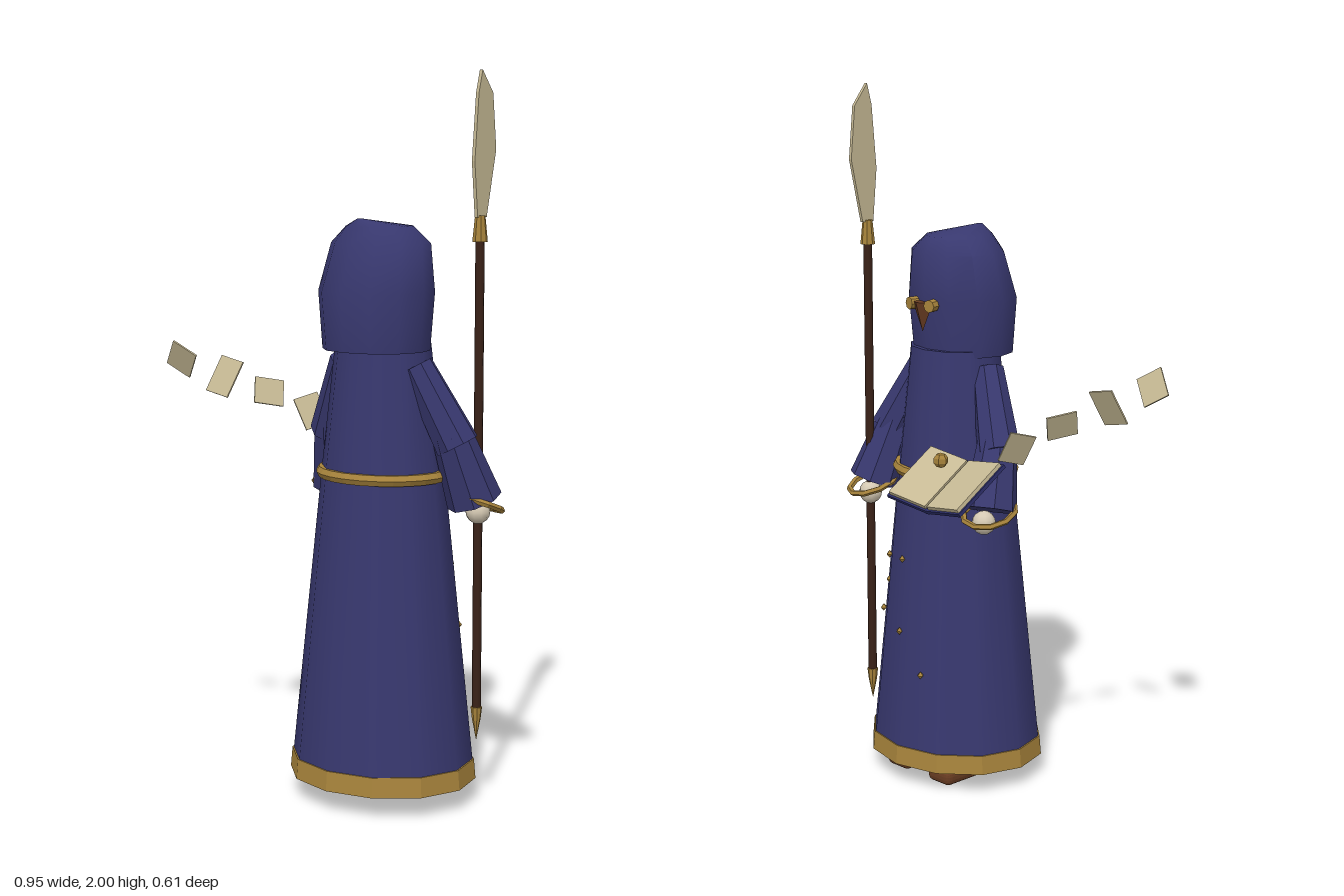
import * as THREE from 'three';
import { toCreasedNormals } from 'three/addons/utils/BufferGeometryUtils.js';
import { RoundedBoxGeometry } from 'three/addons/geometries/RoundedBoxGeometry.js';

const V = (x, y, z) => new THREE.Vector3(x, y, z);
const CX = 0.148, CZ = 0.06, SQUASH = 0.88;

export function createModel() {
  const root = new THREE.Group();
  root.name = 'hoodedFigure';
  const mat = (name, color, extra = {}) => Object.assign(new THREE.MeshStandardMaterial({ color, ...extra }), { name });
  const navy = mat('navyCloth', 0x38386f);
  const navyFlat = mat('navySleeve', 0x38386f, { flatShading: true });
  const gold = mat('gold', 0xa8843c, { flatShading: true });
  const cream = mat('paper', 0xc6b994, { flatShading: true });
  const wood = mat('darkWood', 0x3a2218);
  const brown = mat('brownLeather', 0x683c22, { flatShading: true });
  const skin = mat('paleHand', 0xd6cab4);
  const cover = mat('bookCover', 0x2c2e68);

  const add = (name, geo, material, pos = V(0, 0, 0), parent = root) => {
    const m = new THREE.Mesh(geo, material);
    m.name = name;
    m.position.copy(pos);
    parent.add(m);
    return m;
  };

  // Tapered tube running from point a to point b
  const limb = (name, a, b, ra, rb, sides, material, parent = root) => {
    const d = b.clone().sub(a);
    const m = add(name, new THREE.CylinderGeometry(rb, ra, d.length(), sides), material,
      a.clone().add(b).multiplyScalar(0.5), parent);
    m.quaternion.setFromUnitVectors(V(0, 1, 0), d.normalize());
    return m;
  };

  // Elliptical robe sections, from hem to neck
  const section = (name, y0, y1, r0, r1, material) => {
    const m = add(name, new THREE.CylinderGeometry(r1, r0, y1 - y0, 12), material, V(CX, (y0 + y1) / 2, CZ));
    m.scale.z = SQUASH;
  };
  section('hem', 0.06, 0.115, 0.273, 0.268, gold);
  section('skirt', 0.112, 0.92, 0.264, 0.178, navy);
  section('torso', 0.92, 1.27, 0.178, 0.138, navy);
  const belt = add('belt', new THREE.TorusGeometry(0.177, 0.017, 6, 24).rotateX(Math.PI / 2), gold, V(CX, 0.912, CZ));
  belt.scale.z = SQUASH;

  // Hood: elliptical rings [height, half width, back z, face z]
  const rings = [
    [1.255, 0.01, 0.09, 0.07], [1.252, 0.155, 0.225, -0.045], [1.41, 0.165, 0.24, -0.062],
    [1.54, 0.143, 0.195, -0.055], [1.585, 0.09, 0.175, -0.025], [1.608, 0.004, 0.165, 0.157],
  ];
  const N = 12, verts = [], index = [];
  rings.forEach(([y, rx, z0, z1], i) => {
    for (let j = 0; j < N; j++) {
      const a = j / N * Math.PI * 2, k = i * N + j, k1 = i * N + (j + 1) % N;
      verts.push(CX + Math.sin(a) * rx, y, (z0 + z1) / 2 + Math.cos(a) * (z0 - z1) / 2);
      if (i < rings.length - 1) index.push(k, k1, k1 + N, k, k1 + N, k + N);
    }
  });
  const hood = new THREE.BufferGeometry();
  hood.setAttribute('position', new THREE.Float32BufferAttribute(verts, 3));
  hood.setIndex(index);
  add('hood', toCreasedNormals(hood, 0.9), navy);

  // Beak and eyes under the hood
  const beak = add('beak', new THREE.ConeGeometry(0.042, 0.085, 4).rotateX(Math.PI), brown, V(CX, 1.365, -0.066));
  beak.scale.z = 0.6;

  for (const s of [1, -1]) {
    const at = (x, y, z) => V(CX + s * (x - CX), y, z);
    const side = s > 0 ? 'left' : 'right';
    const eye = add(side + 'Eye', new THREE.CylinderGeometry(0.018, 0.018, 0.025, 8).rotateX(Math.PI / 2), gold,
      at(CX + 0.038, 1.4, -0.068));
    eye.rotation.y = -s * 0.2;

    // Bent sleeve, cuff and hand
    const arm = new THREE.Group();
    arm.name = side + 'Arm';
    root.add(arm);
    const elbow = at(0.372, 1.0, 0.015), wrist = at(0.39, 0.845, -0.038);
    limb('upperSleeve', at(0.272, 1.215, 0.068), elbow, 0.046, 0.062, 8, navyFlat, arm);
    limb('lowerSleeve', at(0.358, 1.035, 0.025), wrist, 0.055, 0.077, 8, navyFlat, arm);
    const cuff = add('cuff', new THREE.TorusGeometry(0.075, 0.009, 5, 10), gold, at(0.392, 0.84, -0.042), arm);
    cuff.quaternion.setFromUnitVectors(V(0, 0, 1), V(s * 0.1, 0.93, -0.34).normalize());
    add('hand', new THREE.SphereGeometry(0.034, 10, 8), skin, at(0.387, 0.812, -0.058), arm);

    add(side + 'Shoe', new RoundedBoxGeometry(0.092, 0.046, 0.16, 2, 0.018), brown, at(0.236, 0.024, -0.02));
  }

  // Spear: shaft, fittings and leaf blade
  const spear = new THREE.Group();
  spear.name = 'spear';
  spear.position.set(0.387, 0, -0.058);
  root.add(spear);
  add('shaft', new THREE.CylinderGeometry(0.0125, 0.0125, 1.3, 8), wood, V(0, 0.9, 0), spear);
  add('collar', new THREE.CylinderGeometry(0.014, 0.021, 0.07, 8), gold, V(0, 1.58, 0), spear);
  add('foot', new THREE.CylinderGeometry(0.016, 0.012, 0.035, 8), gold, V(0, 0.247, 0), spear);
  add('footSpike', new THREE.ConeGeometry(0.012, 0.06, 8).rotateX(Math.PI), gold, V(0, 0.2, 0), spear);
  const blade = new THREE.Shape([[-0.018, 1.61], [0.022, 1.61], [0.062, 1.79], [0.047, 1.94], [0, 2],
    [-0.016, 1.94], [-0.032, 1.76]].map(p => new THREE.Vector2(...p)));
  add('blade', new THREE.ExtrudeGeometry(blade, { depth: 0.01, bevelEnabled: false })
    .translate(0, 0, -0.005).rotateY(Math.PI / 2), cream, V(0, 0, 0), spear);

  // Open floating book with a small orb
  const book = new THREE.Group();
  book.name = 'book';
  book.position.set(-0.115, 0.945, -0.213);
  book.rotation.x = -0.57;
  root.add(book);
  for (const s of [1, -1]) {
    const half = new THREE.Group();
    half.name = s > 0 ? 'leftHalf' : 'rightHalf';
    half.rotation.z = s * 0.17;
    book.add(half);
    add('cover', new THREE.BoxGeometry(0.145, 0.01, 0.2), cover, V(s * 0.0725, 0, 0), half);
    add('pages', new THREE.BoxGeometry(0.133, 0.012, 0.188), cream, V(s * 0.073, 0.01, 0), half);
  }
  add('spine', new THREE.BoxGeometry(0.016, 0.012, 0.2), cover, V(0, 0, 0), book);
  add('orb', new THREE.SphereGeometry(0.021, 6, 5), gold, V(-0.115, 1.027, -0.244));

  // Loose pages drifting away: centre and two edge vectors
  [
    [V(-0.202, 1.04, -0.04), V(0.046, -0.085, -0.004), V(0.032, 0.012, -0.069)],
    [V(-0.275, 1.1, 0.061), V(0.022, -0.07, 0.028), V(0.044, -0.016, -0.073)],
    [V(-0.352, 1.147, 0.163), V(0.08, -0.015, -0.003), V(-0.027, -0.095, 0.05)],
    [V(-0.422, 1.2, 0.265), V(0.065, -0.04, -0.025), V(0.05, 0.068, 0.025)],
  ].forEach(([c, u, v], i) => {
    const page = add('loosePage' + (i + 1), new THREE.BoxGeometry(u.length(), v.length(), 0.005), cream, c);
    const n = u.clone().cross(v).normalize();
    u.normalize();
    page.quaternion.setFromRotationMatrix(new THREE.Matrix4().makeBasis(u, n.clone().cross(u), n));
  });

  // Golden studs on the skirt
  [[0.26, 0.58, -0.1], [0.185, 0.66, -0.117], [0.175, 0.45, -0.139], [0.08, 0.34, -0.145],
    [0.275, 0.65, -0.085], [0.305, 0.48, -0.083]].forEach((p, i) =>
    add('stud' + (i + 1), new THREE.OctahedronGeometry(0.011), gold, V(...p)));

  return root;
}
